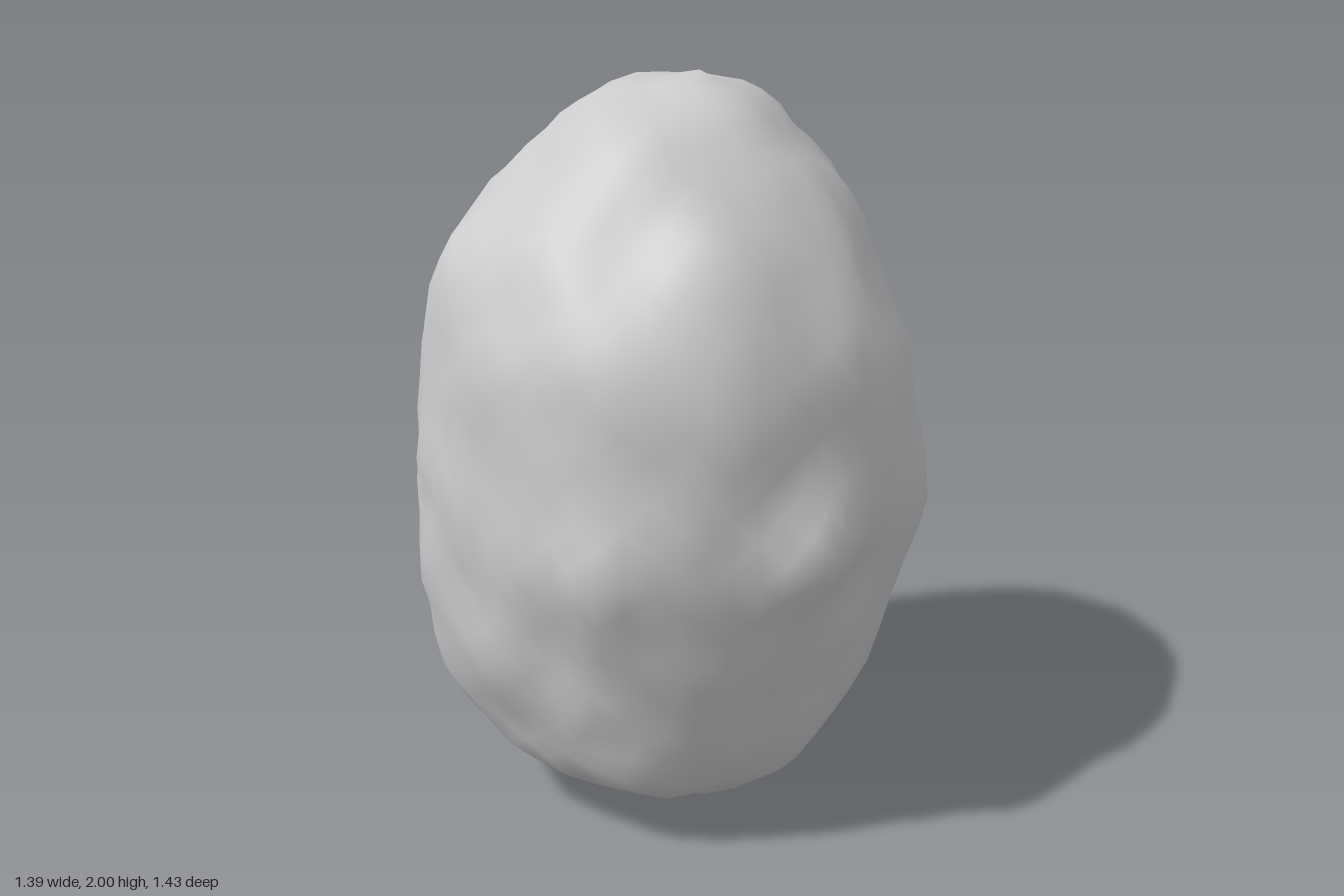
import * as THREE from 'three';
import { mergeVertices } from 'three/addons/utils/BufferGeometryUtils.js';

// Height, then reach towards +x, +z, -x, -z
const PROFILE = [
  [0.00, 0.04, 0.04, 0.04, 0.04],
  [0.03, 0.22, 0.14, 0.22, 0.14],
  [0.10, 0.34, 0.29, 0.35, 0.24],
  [0.15, 0.39, 0.42, 0.45, 0.38],
  [0.21, 0.44, 0.49, 0.51, 0.47],
  [0.40, 0.54, 0.56, 0.65, 0.58],
  [0.60, 0.62, 0.63, 0.69, 0.64],
  [0.85, 0.67, 0.68, 0.68, 0.68],
  [1.00, 0.67, 0.67, 0.69, 0.69],
  [1.28, 0.66, 0.66, 0.66, 0.68],
  [1.40, 0.62, 0.64, 0.63, 0.63],
  [1.60, 0.52, 0.55, 0.54, 0.60],
  [1.70, 0.45, 0.46, 0.47, 0.56],
  [1.80, 0.37, 0.38, 0.37, 0.48],
  [1.90, 0.26, 0.28, 0.27, 0.39],
  [1.95, 0.18, 0.15, 0.19, 0.30],
  [2.00, 0.03, 0.03, 0.03, 0.03],
];
// Fullness between the four main directions
const DIAGONAL = [0.98, 0.97, 1.02, 0.97];

// Local bumps and hollows: x, y, z, spread, height
const DABS = [
  [0.54, 0.87, 0.48, 0.13, 0.08],
  [0.02, 0.85, 0.70, 0.14, 0.04],
  [0.70, 0.86, -0.05, 0.13, 0.04],
  [-0.05, 1.28, -0.70, 0.13, 0.04],
  [0.28, 1.20, -0.60, 0.13, 0.03],
  [-0.50, 1.54, 0.36, 0.17, 0.07],
  [-0.36, 0.50, 0.55, 0.12, 0.02],
  [0.05, 2.00, 0.00, 0.08, 0.03],
  [0.58, 1.33, -0.29, 0.12, -0.04],
  [0.58, 1.47, -0.08, 0.11, -0.03],
  [0.48, 0.36, -0.23, 0.13, -0.03],
  [-0.17, 0.60, 0.62, 0.12, -0.03],
  [-0.42, 0.72, 0.50, 0.12, -0.02],
  [0.05, 1.62, 0.52, 0.10, -0.02],
  [0.62, 0.75, 0.22, 0.12, -0.03],
  [-0.50, 1.60, -0.15, 0.13, -0.04],
  [-0.36, 1.78, -0.08, 0.12, -0.04],
  [0.62, 0.72, -0.12, 0.11, -0.02],
];

// Reach of the rock at a height and compass angle
function reach(y, angle) {
  let i = 0;
  while (i < PROFILE.length - 2 && y > PROFILE[i + 1][0]) i++;
  const a = PROFILE[i], b = PROFILE[i + 1];
  const t = THREE.MathUtils.clamp((y - a[0]) / (b[0] - a[0]), 0, 1);
  const at = (k) => THREE.MathUtils.lerp(a[k % 4 + 1], b[k % 4 + 1], t);
  const turn = (angle / (Math.PI / 2) + 4) % 4;
  const q = Math.floor(turn), f = turn - q;
  const blend = f * f * (3 - 2 * f);
  const full = 1 + (DIAGONAL[q] - 1) * Math.sin(Math.PI * f) ** 2;
  return THREE.MathUtils.lerp(at(q), at(q + 1), blend) * full;
}

// Seeded smooth lattice noise in -1..1
function hash(x, y, z) {
  const s = Math.sin(x * 127.1 + y * 311.7 + z * 74.7 + 5.3) * 43758.5453;
  return (s - Math.floor(s)) * 2 - 1;
}
function noise(p, scale) {
  const c = [p.x, p.y, p.z].map((v) => v * scale + 20);
  const n = c.map(Math.floor);
  const s = c.map((v, i) => { const f = v - n[i]; return f * f * (3 - 2 * f); });
  let sum = 0;
  for (let k = 0; k < 8; k++) {
    const o = [k & 1, (k >> 1) & 1, k >> 2];
    const w = o.reduce((m, bit, i) => m * (bit ? s[i] : 1 - s[i]), 1);
    sum += w * hash(n[0] + o[0], n[1] + o[1], n[2] + o[2]);
  }
  return sum;
}

export function createModel() {
  const group = new THREE.Group();
  group.name = 'rock';

  // Ball with shared vertices, reshaped into a lumpy egg
  let geometry = new THREE.IcosahedronGeometry(1, 10);
  geometry.deleteAttribute('uv');
  geometry.deleteAttribute('normal');
  geometry = mergeVertices(geometry, 1e-4);

  const pos = geometry.attributes.position;
  const d = new THREE.Vector3(), p = new THREE.Vector3(), out = new THREE.Vector3();
  for (let i = 0; i < pos.count; i++) {
    d.fromBufferAttribute(pos, i);
    const y = 1 + d.y * 0.985;
    const angle = Math.atan2(d.z, d.x);
    const r = Math.hypot(d.x, d.z) < 1e-4 ? 0 : reach(y, angle);
    p.set(Math.cos(angle) * r, y, Math.sin(angle) * r);
    out.set(d.x, d.y * 0.7, d.z).normalize();
    let lift = 0.012 * noise(p, 4) + 0.016 * noise(p, 9);
    for (const [x, h, z, spread, height] of DABS) {
      const q = (p.x - x) ** 2 + (p.y - h) ** 2 + (p.z - z) ** 2;
      lift += height * Math.exp(-q / (spread * spread));
    }
    p.addScaledVector(out, lift);
    pos.setXYZ(i, p.x, p.y, p.z);
  }

  // Centre it and rest it on the ground
  geometry.center();
  geometry.translate(0, -geometry.boundingBox.min.y, 0);
  geometry.computeVertexNormals();

  const boulder = new THREE.Mesh(geometry, new THREE.MeshStandardMaterial({ color: 0xcccccc, roughness: 0.9 }));
  boulder.name = 'boulder';
  group.add(boulder);
  return group;
}
